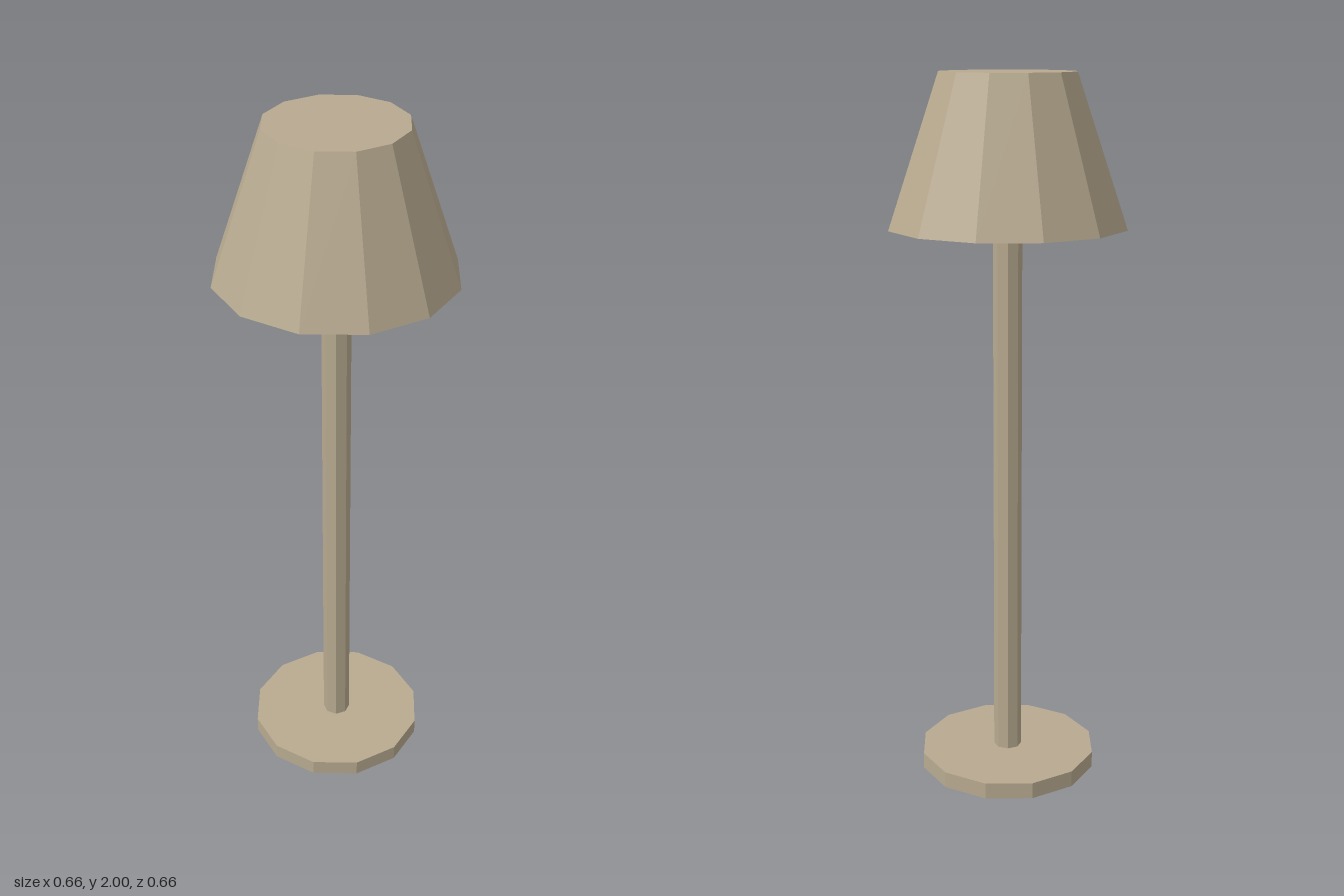
import * as THREE from 'three';

export function createModel() {
  const group = new THREE.Group();
  const beige = new THREE.MeshStandardMaterial({ name: 'warm beige', color: 0xb8aa90, flatShading: true });

  // Faceted, capped column or cone between two heights
  function addPart(name, topRadius, bottomRadius, y0, y1, sides) {
    const mesh = new THREE.Mesh(new THREE.CylinderGeometry(topRadius, bottomRadius, y1 - y0, sides), beige);
    mesh.name = name;
    mesh.position.y = (y0 + y1) / 2;
    group.add(mesh);
  }

  addPart('base', 0.257, 0.257, 0, 0.047, 12);
  addPart('pole', 0.04, 0.04, 0.047, 1.59, 8);
  addPart('shade', 0.189, 0.33, 1.59, 2, 12);

  return group;
}
